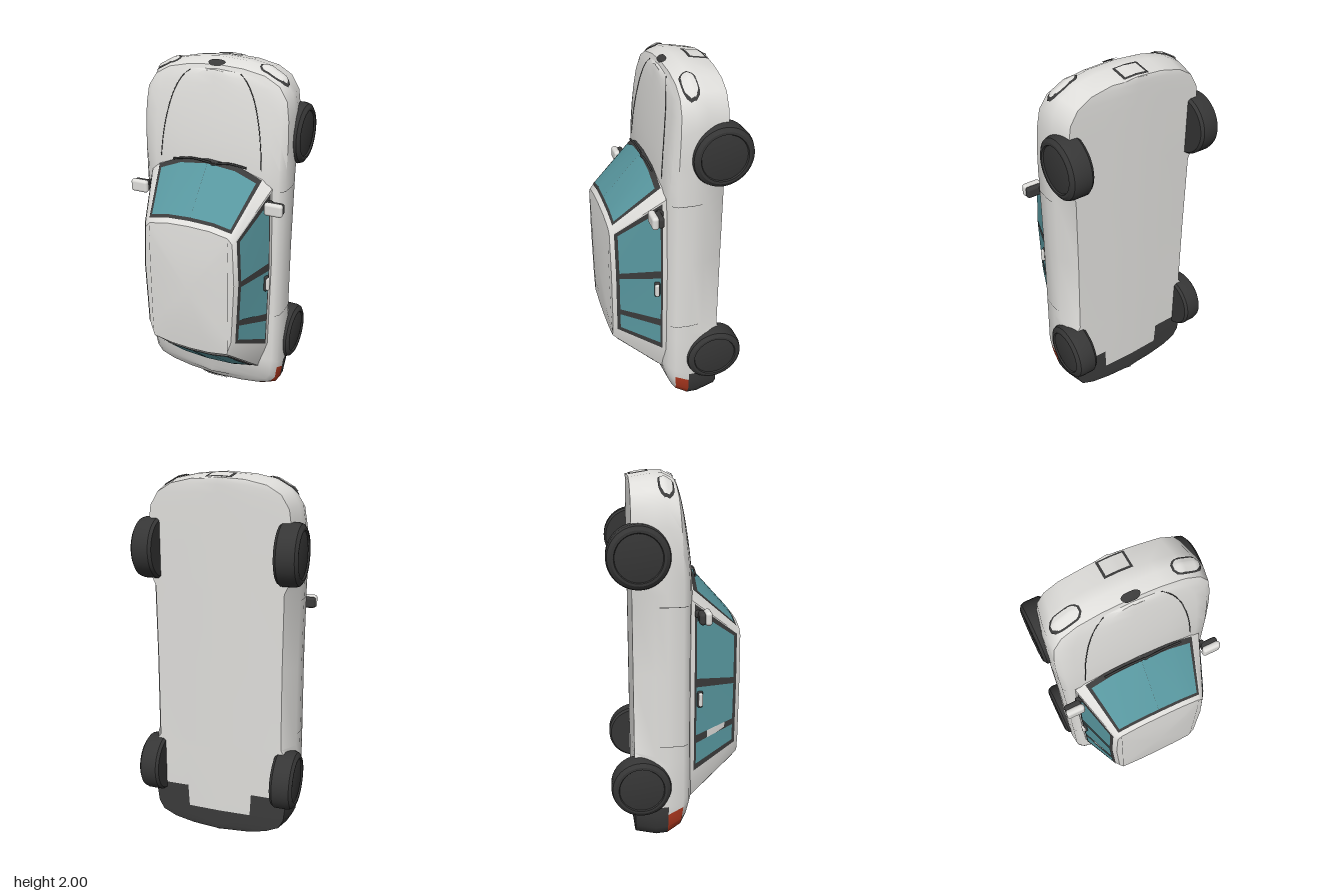
import * as THREE from 'three';
import { toCreasedNormals } from 'three/addons/utils/BufferGeometryUtils.js';
import { RoundedBoxGeometry } from 'three/addons/geometries/RoundedBoxGeometry.js';

const mat = (name, color, side = THREE.FrontSide) => {
  const m = new THREE.MeshStandardMaterial({ color, side });
  m.name = name;
  return m;
};
const paint = mat('paint', 0xdfdedb, THREE.DoubleSide);
const trim = mat('darkTrim', 0x3b3b3b, THREE.DoubleSide);
const tyre = mat('tyre', 0x363636);
const glass = mat('glass', 0x58979f, THREE.DoubleSide);
const red = mat('redLamp', 0xb33a20);

// Skin over closed rings; pick(i, k) chooses the material index of each quad
function loft(rings, pick = () => 0, crease = 0.65) {
  const n = rings[0].length, index = [], geo = new THREE.BufferGeometry();
  for (let i = 0; i < rings.length - 1; i++) for (let k = 0; k < n; k++) {
    const a = i * n + k, d = i * n + (k + 1) % n;
    geo.addGroup(index.length, 6, pick(i, k));
    index.push(a, a + n, d + n, a, d + n, d);
  }
  geo.setAttribute('position', new THREE.Float32BufferAttribute(rings.flat(2), 3));
  geo.setIndex(index);
  return toCreasedNormals(geo, crease);
}

// Open sheet from rows of Vector3
function sheet(rows) {
  const n = rows[0].length, index = [], geo = new THREE.BufferGeometry();
  for (let i = 0; i < rows.length - 1; i++) for (let k = 0; k < n - 1; k++) {
    const a = i * n + k;
    index.push(a, a + 1, a + n + 1, a, a + n + 1, a + n);
  }
  geo.setAttribute('position', new THREE.Float32BufferAttribute(rows.flat().flatMap(p => p.toArray()), 3));
  geo.setIndex(index);
  geo.computeVertexNormals();
  return geo;
}

// Lower body: stations along the length [y, half width]
const STATIONS = [[0, 0], [.012, .17], [.035, .29], [.07, .37], [.12, .40], [.2, .41], [.25, .415], [.5, .413],
  [.55, .413], [1, .41], [1.42, .413], [1.5, .415], [1.63, .415], [1.75, .41], [1.85, .395], [1.92, .35],
  [1.965, .27], [1.99, .15], [2, 0]];
// Half section from keel to bonnet crown: [width factor, z, nose y, tail y, end drop]
const SECTION = [[0, -.243, 1.98, .02, 0], [.45, -.238, 1.98, .02, 0], [.93, -.232, 1.98, .015, 0],
  [.985, -.12, 1.998, 0, 0], [1, -.055, 2, .01, .1], [.985, .025, 1.97, .06, .4], [.92, .058, 1.955, .085, .8],
  [.78, .074, 1.95, .095, 1], [.4, .086, 1.948, .1, 1], [0, .09, 1.948, .1, 1]];

function bodyGeometry() {
  const rings = STATIONS.map(([y, w]) => {
    const drop = y > 1.45 ? .07 * ((y - 1.45) / .55) ** 1.5 : y < .2 ? .05 * (.2 - y) / .2 : 0;
    const half = SECTION.map(([s, z, nose, tail, d], k) => {
      const sill = k === 2 && y > .54 && y < 1.43 ? .85 : s;
      return [w * sill, y > 1 ? 1 + (y - 1) * (nose - 1) : 1 - (1 - y) * (1 - tail), z - drop * d];
    });
    return [...half, ...half.slice(1, -1).reverse().map(([x, y, z]) => [-x, y, z])];
  });
  return loft(rings, (i, q) => {
    const k = q < 9 ? q : 17 - q;
    const y = (STATIONS[i][0] + STATIONS[i + 1][0]) / 2, x = (STATIONS[i][1] + STATIONS[i + 1][1]) / 2;
    if (k === 4 && y < .2 && x > .22) return 2;
    if ((k === 0 && y < .1) || (k > 0 && k < 4 && y < .23)) return 1;
    return 0;
  });
}

// Cabin outlines (right half, windscreen to rear) at belt and roof edge
const BELT = [[0, 1.51], [.16, 1.49], [.30, 1.43], [.35, 1.38], [.36, .95], [.355, .43], [.305, .26], [.16, .225], [0, .215]];
const ROOF = [[0, 1.235], [.13, 1.23], [.235, 1.21], [.262, 1.18], [.275, .93], [.262, .56], [.235, .47], [.12, .45], [0, .445]];
const Z0 = .07, Z1 = .318;

function cabinGeometry() {
  const ring = (pts, z, s = 1) => {
    const half = pts.map(([x, y]) => [x * s, .84 + (y - .84) * s, z]);
    return [...half, ...half.slice(1, -1).reverse().map(([x, y, h]) => [-x, y, h])];
  };
  return loft([ring(BELT, .04), ring(BELT, Z0), ring(ROOF, Z1), ring(ROOF, .34, .95), ring(ROOF, .353, .6), ring(ROOF, .36, 0)]);
}

// Point on the cabin wall: u runs along the outline, v from belt to roof
function wall(u, v, side) {
  const i = Math.min(Math.floor(u), BELT.length - 2), f = u - i;
  const at = o => [0, 1].map(c => o[i][c] + (o[i + 1][c] - o[i][c]) * f);
  const a = at(BELT), b = at(ROOF);
  return new THREE.Vector3(side * (a[0] + (b[0] - a[0]) * v), a[1] + (b[1] - a[1]) * v, Z0 + (Z1 - Z0) * v);
}
function pane(u0, u1, v0, v1, off, side) {
  const us = [u0];
  for (let i = Math.floor(u0) + 1; i < u1; i++) us.push(i);
  us.push(u1);
  return sheet([v0, v1].map(v => us.map(u => {
    const e = u > u0 ? -.01 : .01, p = wall(u, v, side);
    const du = wall(u + e, v, side).sub(p).multiplyScalar(Math.sign(e)), dv = wall(u, v + .01, side).sub(p);
    return p.addScaledVector(dv.cross(du).normalize(), off * side);
  })));
}

// Thin plate projected along an axis onto a mesh; a and b span the other two axes
function drape(target, axis, sign, a, b, off, n = 8, oval = false) {
  const ray = new THREE.Raycaster(), dir = new THREE.Vector3().setComponent(axis, -sign);
  const [p, q] = [0, 1, 2].filter(c => c !== axis), rows = [];
  for (let i = 0; i <= n; i++) {
    const row = [], t = i / n * 2 - 1;
    const r = oval ? Math.max(.3, (1 - Math.abs(t) ** 4) ** .5) : 1;
    for (let j = 0; j <= n; j++) {
      const o = new THREE.Vector3().setComponent(axis, sign * 3);
      o.setComponent(p, (a[0] + a[1]) / 2 + t * (a[1] - a[0]) / 2);
      o.setComponent(q, (b[0] + b[1]) / 2 + (j / n * 2 - 1) * r * (b[1] - b[0]) / 2);
      ray.set(o, dir);
      const hit = ray.intersectObject(target)[0];
      row.push(hit ? hit.point.addScaledVector(hit.face.normal, off) : (row[row.length - 1] || o.setComponent(axis, 0)).clone());
    }
    rows.push(row);
  }
  return sheet(rows);
}

export function createModel() {
  const car = new THREE.Group();
  car.name = 'car';
  const add = (name, geo, material, pos) => {
    const m = new THREE.Mesh(geo, material);
    m.name = name;
    if (pos) m.position.set(...pos);
    car.add(m);
    return m;
  };
  const tube = (pts, r) => new THREE.TubeGeometry(new THREE.CatmullRomCurve3(pts), 20, r, 6);

  const body = add('body', bodyGeometry(), [paint, trim, red]);
  const cabin = add('cabin', cabinGeometry(), paint);

  // Wheel profile: tyre with a shallow hub recess
  const wheelGeo = new THREE.LatheGeometry([[0, -.06], [.15, -.06], [.161, -.045], [.161, .025], [.154, .047], [.135, .06],
    [.122, .06], [.118, .052], [.1, .056], [0, .058]].map(p => new THREE.Vector2(...p)), 40);
  const wheelShape = toCreasedNormals(wheelGeo, .6);

  for (const s of [1, -1]) {
    const side = s > 0 ? 'left' : 'right';
    for (const [end, y] of [['Front', 1.61], ['Rear', .376]])
      add(side + end + 'Wheel', wheelShape, tyre, [s * .38, y, -.198]).rotation.z = -s * Math.PI / 2;

    // Windows: dark surround with glass on top
    add(side + 'WindscreenSurround', pane(0, 2, .04, 1, .003, s), trim);
    add(side + 'Windscreen', pane(0, 1.87, .13, .95, .006, s), glass);
    add(side + 'RearWindowSurround', pane(6.05, 8, .08, .99, .003, s), trim);
    add(side + 'RearWindow', pane(6.25, 8, .17, .93, .006, s), glass);
    add(side + 'WindowSurround', pane(3.02, 5, .06, 1, .003, s), trim);
    for (const [u0, u1] of [[3.1, 3.96], [4.06, 4.6], [4.69, 4.93]])
      add(side + 'Window', pane(u0, u1, .1, .93, .006, s), glass);

    // Headlamp with dark rim
    const span = (a, b) => s > 0 ? [a, b] : [-b, -a];
    add(side + 'HeadlampRim', drape(body, 1, 1, span(.22, .37), [-.095, -.018], .004, 10, true), trim);
    add(side + 'Headlamp', drape(body, 1, 1, span(.23, .36), [-.087, -.026], .008, 10, true), paint);

    // Bonnet, roof and door seams
    const ray = new THREE.Raycaster(), down = new THREE.Vector3(0, 0, -1);
    const seam = [[.29, 1.47], [.28, 1.58], [.26, 1.7], [.225, 1.82], [.18, 1.9], [.14, 1.935]].map(([x, y]) => {
      ray.set(new THREE.Vector3(s * x, y, 2), down);
      return ray.intersectObject(body)[0].point;
    });
    add(side + 'BonnetSeam', tube(seam, .0025), trim);
    add(side + 'RoofSeam', drape(cabin, 2, 1, span(.226, .228), [.5, 1.18], .001, 6), trim);
    for (const y of [.61, 1.36])
      add(side + 'DoorSeam', drape(body, 0, s, [y - .0015, y + .0015], [-.1, .05], .001, 6), trim);

    // Door handle and mirror
    add(side + 'HandleBase', new RoundedBoxGeometry(.02, .09, .03, 2, .008), trim, [s * .352, .85, .115]);
    add(side + 'Handle', new RoundedBoxGeometry(.025, .075, .022, 2, .009), paint, [s * .362, .85, .118]);
    add(side + 'MirrorBase', new RoundedBoxGeometry(.09, .06, .035, 3, .015), trim, [s * .392, 1.3, .116]);
    add(side + 'MirrorArm', new RoundedBoxGeometry(.05, .035, .03, 2, .01), trim, [s * .345, 1.31, .1]);
    add(side + 'MirrorShell', new RoundedBoxGeometry(.1, .07, .036, 3, .016), paint, [s * .39, 1.302, .145]);
  }

  // Nose badge recess and plate holder
  add('noseRecess', drape(body, 1, 1, [-.046, .046], [-.032, 0], .006, 8, true), trim);
  add('frontPlateRim', drape(body, 1, 1, [-.07, .07], [-.228, -.128], .003), trim);
  add('frontPlate', drape(body, 1, 1, [-.058, .058], [-.218, -.138], .006), paint);

  // Rear plate
  add('rearPlateRim', drape(body, 1, -1, [-.082, .082], [-.05, .012], .004), trim);
  add('rearPlate', drape(body, 1, -1, [-.074, .074], [-.044, .006], .009), paint);

  // Wipers resting on the cowl
  for (const [x0, x1] of [[-.2, .02], [.02, .22]])
    add('wiper', tube([[x0, 1.475, .105], [(x0 + x1) / 2, 1.495, .107], [x1, 1.485, .105]].map(p => new THREE.Vector3(...p)), .006), trim);

  return car;
}
